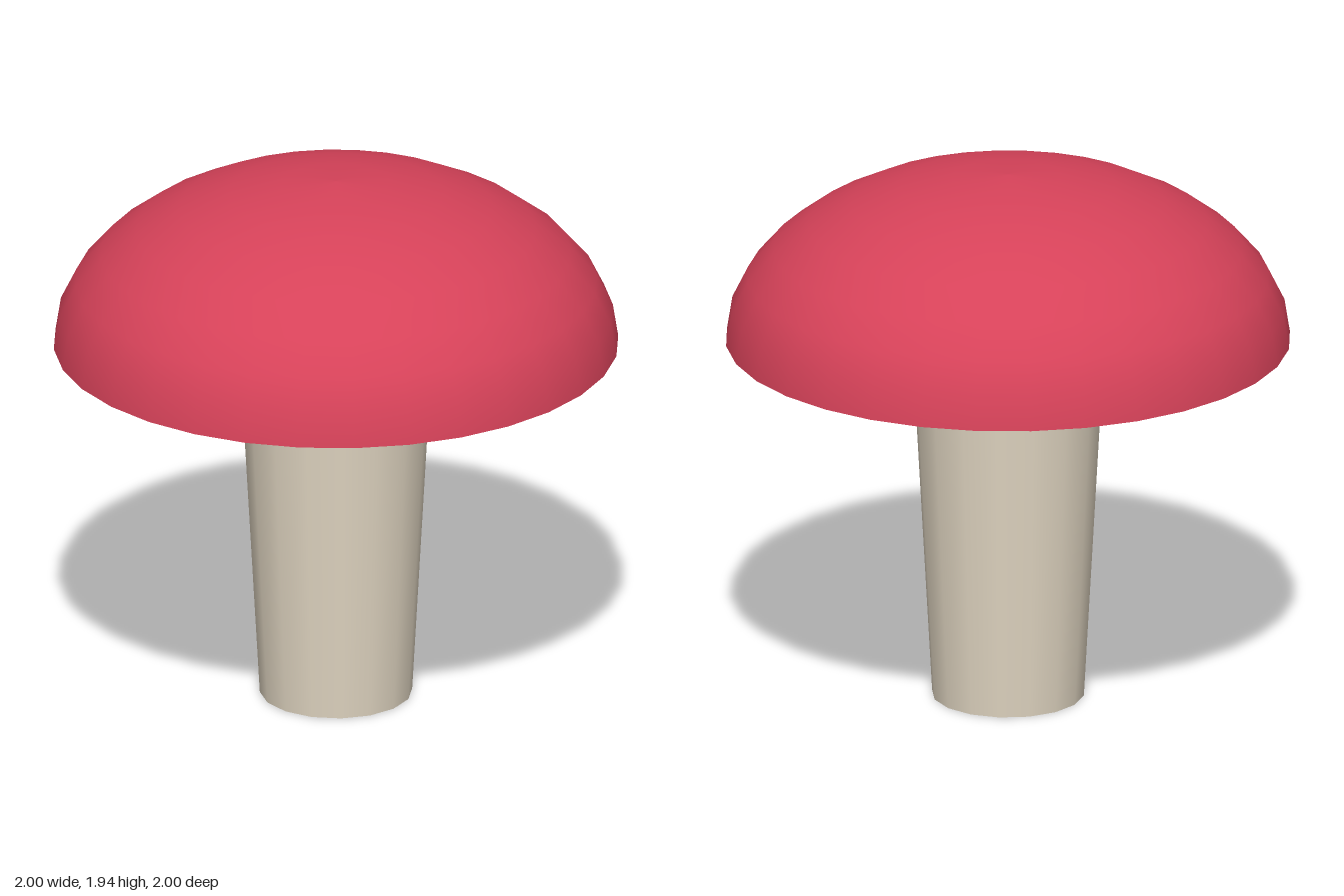
import * as THREE from 'three';

export function createModel() {
  const model = new THREE.Group();
  const red = new THREE.MeshStandardMaterial({ color: 0xd64259 });
  red.name = 'capRed';
  const cream = new THREE.MeshStandardMaterial({ color: 0xe0d5c1 });
  cream.name = 'stemCream';

  const add = (name, geometry, material, parent = model) => {
    const mesh = new THREE.Mesh(geometry, material);
    mesh.name = name;
    parent.add(mesh);
    return mesh;
  };

  // Tapered stem, wider at the top, ending just inside the hollow cap
  const stem = add('stem', new THREE.CylinderGeometry(0.345, 0.27, 1.35, 16), cream);
  stem.position.y = 0.675;

  // Quarter-ellipse profile from rim to crown
  const dome = (radius, height, base) => Array.from({ length: 9 }, (_, i) => {
    const a = (i / 8) * Math.PI / 2;
    return new THREE.Vector2(i === 8 ? 0 : radius * Math.cos(a), base + height * Math.sin(a));
  });

  // Hollow cap: outer dome, flat rim and inner dome, split to keep the rim edges sharp
  const cap = new THREE.Group();
  cap.name = 'cap';
  model.add(cap);
  const outer = dome(1, 0.615, 1.325);
  const inner = dome(0.925, 0.55, 1.315);
  add('capOuter', new THREE.LatheGeometry(outer, 32), red, cap);
  add('capRim', new THREE.LatheGeometry([inner[0], outer[0]], 32), red, cap);
  add('capInner', new THREE.LatheGeometry(inner.slice().reverse(), 32), red, cap);

  // Flattened spots under the cap, each tilted toward the stem axis
  const spots = new THREE.Group();
  spots.name = 'spots';
  model.add(spots);
  const up = new THREE.Vector3(0, 1, 0);
  const tilt = 0.6;
  const places = [
    [-0.63, 1.62, -0.25], [-0.12, 1.58, 0.70], [0.32, 1.72, 0.42],
    [0.18, 1.81, 0.11], [-0.19, 1.79, -0.26], [0.42, 1.66, -0.42],
  ];
  for (const [x, y, z] of places) {
    const spot = add('spot', new THREE.SphereGeometry(0.11, 16, 12), cream, spots);
    const r = Math.hypot(x, z);
    const axis = new THREE.Vector3(-x / r * Math.sin(tilt), Math.cos(tilt), -z / r * Math.sin(tilt));
    spot.scale.y = 0.45;
    spot.position.set(x, y, z);
    spot.quaternion.setFromUnitVectors(up, axis);
  }

  return model;
}
